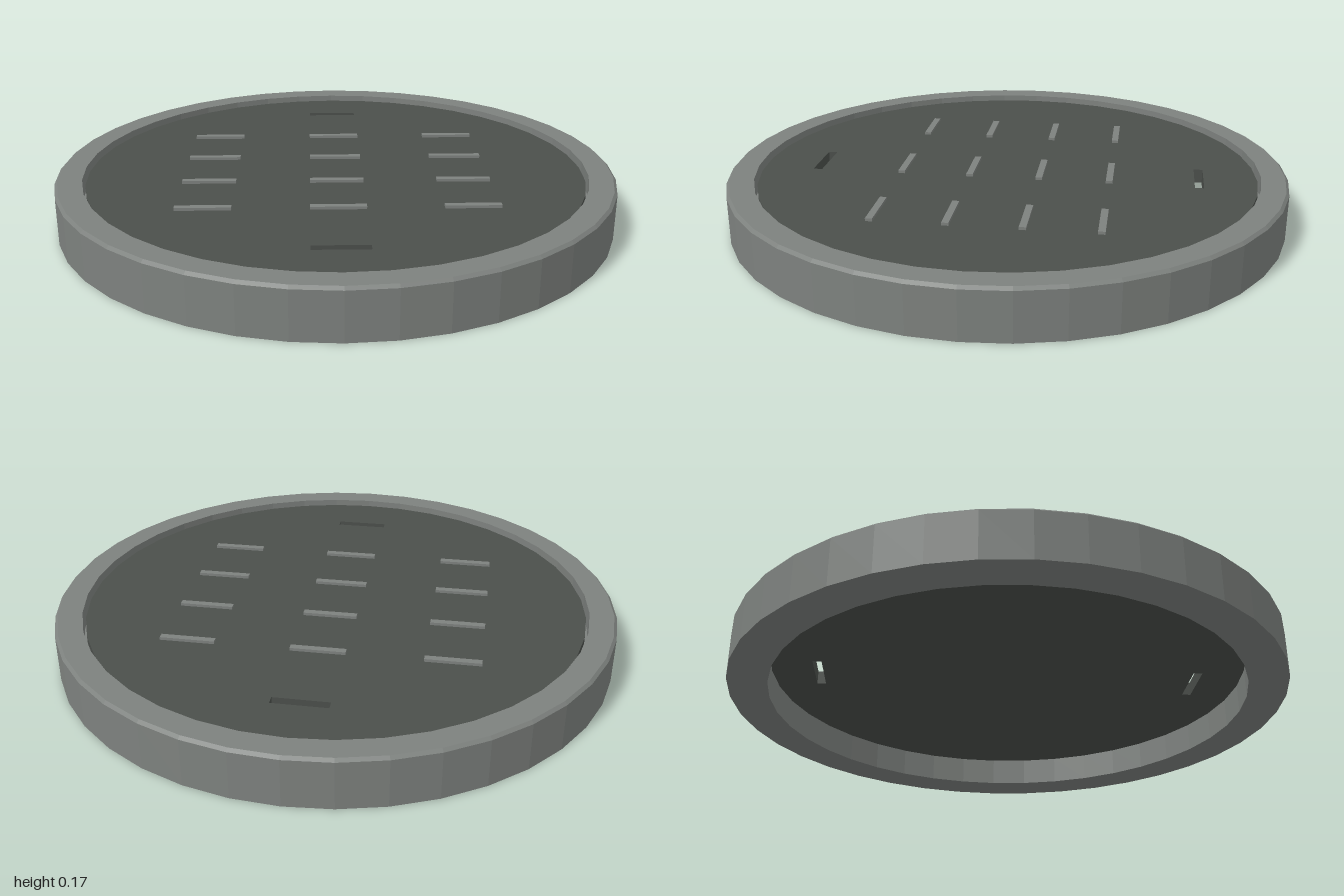
import * as THREE from 'three';

const SIDES = 40;
const LID_BOTTOM = 0.105;
const LID_TOP = 0.155;

export function createModel() {
  const model = new THREE.Group();
  model.name = 'accessCover';

  const frameMetal = new THREE.MeshStandardMaterial({ color: 0x7d817e, flatShading: true });
  frameMetal.name = 'light grey metal';
  const lidMetal = new THREE.MeshStandardMaterial({ color: 0x4b4f4b, flatShading: true });
  lidMetal.name = 'dark grey metal';

  const add = (name, geometry, material, parent = model) => {
    const mesh = new THREE.Mesh(geometry, material);
    mesh.name = name;
    parent.add(mesh);
    return mesh;
  };

  // Frame ring: chamfered outer edge and an inner ledge that carries the lid
  const profile = [
    [0.86, 0], [1, 0], [1, 0.165], [0.99, 0.175],
    [0.905, 0.175], [0.905, LID_BOTTOM], [0.86, LID_BOTTOM], [0.86, 0],
  ].map(([r, y]) => new THREE.Vector2(r, y));
  add('frameRing', new THREE.LatheGeometry(profile, SIDES), frameMetal);

  // Lid disc with two lifting slots cut right through
  const outline = [];
  for (let i = 0; i < SIDES; i++) {
    const a = (i / SIDES) * Math.PI * 2;
    outline.push(new THREE.Vector2(0.895 * Math.cos(a), 0.895 * Math.sin(a)));
  }
  const disc = new THREE.Shape(outline);
  for (const z of [-0.69, 0.69]) {
    const w = 0.094, d = 0.016;
    disc.holes.push(new THREE.Path([
      new THREE.Vector2(-w, z - d), new THREE.Vector2(-w, z + d),
      new THREE.Vector2(w, z + d), new THREE.Vector2(w, z - d),
    ]));
  }
  const lidGeometry = new THREE.ExtrudeGeometry(disc, {
    depth: LID_TOP - LID_BOTTOM, bevelEnabled: false,
  });
  lidGeometry.rotateX(-Math.PI / 2);
  add('lid', lidGeometry, lidMetal).position.y = LID_BOTTOM;

  // Raised grip bars in a three by four grid
  const grips = new THREE.Group();
  grips.name = 'gripBars';
  model.add(grips);
  const barGeometry = new THREE.BoxGeometry(0.19, 0.02, 0.024);
  for (const x of [-0.45, 0, 0.45]) {
    for (const z of [-0.375, -0.125, 0.125, 0.375]) {
      add('gripBar', barGeometry, frameMetal, grips).position.set(x, LID_TOP, z);
    }
  }

  return model;
}
